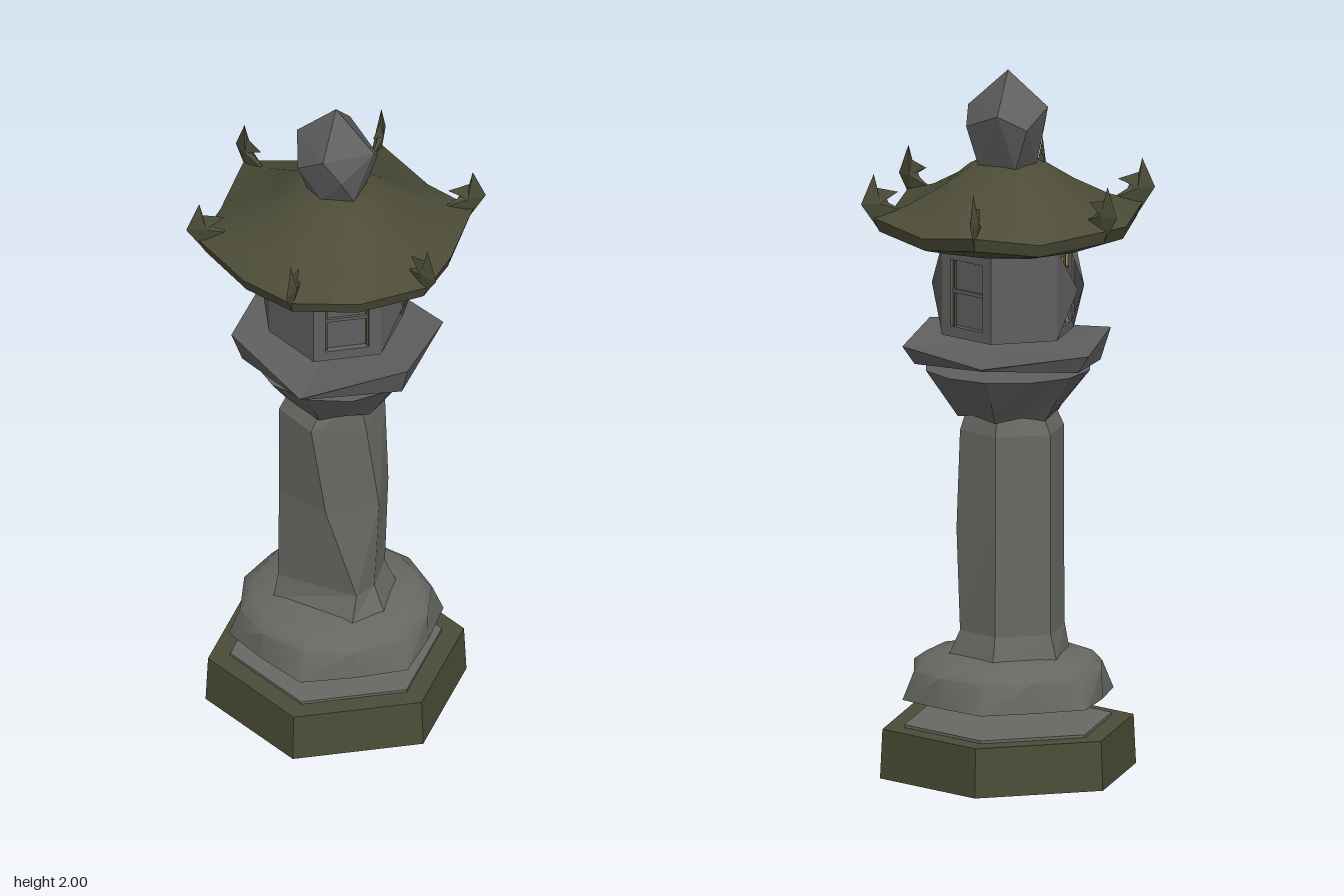
import * as THREE from 'three';
import { toCreasedNormals } from 'three/addons/utils/BufferGeometryUtils.js';
import { ConvexGeometry } from 'three/addons/geometries/ConvexGeometry.js';

const mat = (name, color, side = THREE.FrontSide) => {
  const m = new THREE.MeshStandardMaterial({ color, side });
  m.name = name;
  return m;
};

// Flat-shaded geometry from a list of triangle corners
function fromCorners(corners) {
  const g = new THREE.BufferGeometry();
  g.setAttribute('position', new THREE.Float32BufferAttribute(corners.flat(), 3));
  g.computeVertexNormals();
  return g;
}

// Skin over rings of [x, y, z], with optional caps at the given centre heights
function loft(rings, bottomY = null, topY = null) {
  const t = [], n = rings[0].length;
  for (let i = 0; i < n; i++) {
    const j = (i + 1) % n;
    for (let k = 0; k + 1 < rings.length; k++) {
      const a = rings[k], b = rings[k + 1];
      t.push(a[i], a[j], b[j], a[i], b[j], b[i]);
    }
    const last = rings[rings.length - 1];
    if (bottomY !== null) t.push([0, bottomY, 0], rings[0][j], rings[0][i]);
    if (topY !== null) t.push([0, topY, 0], last[i], last[j]);
  }
  return fromCorners(t);
}

// Twelve-point ring: hexagon corners alternating with edge middles
const ring12 = (cornerR, cornerY, midR, midY) => Array.from({ length: 12 }, (_, i) => {
  const a = i * Math.PI / 6, r = i % 2 ? midR : cornerR;
  return [r * Math.sin(a), i % 2 ? midY : cornerY, r * Math.cos(a)];
});

export function createModel() {
  const stone = mat('stone', 0x686863);
  const darkStone = mat('dark stone', 0x5e5f5e);
  const openStone = mat('shutter stone', 0x585958, THREE.DoubleSide);
  const moss = mat('moss', 0x4c4c38);
  const glow = mat('amber paper', 0xc9a068);

  const model = new THREE.Group();
  model.name = 'stoneLantern';
  const add = (name, geo, material, parent = model, x = 0, y = 0, z = 0) => {
    const m = new THREE.Mesh(geo, material);
    m.name = name;
    m.position.set(x, y, z);
    parent.add(m);
    return m;
  };
  const flat = g => { const f = g.toNonIndexed(); f.computeVertexNormals(); return f; };

  // Plinth and its inset slab
  add('plinth', flat(new THREE.CylinderGeometry(0.363, 0.37, 0.14, 6)), moss, model, 0, 0.07, 0);
  add('plinthSlab', flat(new THREE.CylinderGeometry(0.3, 0.3, 0.008, 6)), stone, model, 0, 0.145, 0);

  // Rounded foot under the column
  add('foot', toCreasedNormals(loft([
    ring12(0.305, 0.22, 0.272, 0.22), ring12(0.272, 0.3, 0.27, 0.305),
    ring12(0.245, 0.33, 0.235, 0.33), ring12(0.16, 0.345, 0.16, 0.345),
  ], null, 0.345), 0.7), stone);

  // Roughly hewn column, as [y, six x/z pairs] from the front round to the left
  const columnRows = [
    [0.34, [0.1, 0.15], [0.165, 0.07], [0.15, -0.08], [0, -0.17], [-0.16, -0.08], [-0.15, 0.1]],
    [0.41, [0.1, 0.115], [0.13, 0.05], [0.12, -0.07], [0, -0.145], [-0.14, -0.07], [-0.14, 0.09]],
    [0.7, [0.02, 0.145], [0.148, 0.06], [0.13, -0.07], [0, -0.14], [-0.14, -0.07], [-0.14, 0.08]],
    [0.98, [-0.02, 0.155], [0.115, 0.08], [0.12, -0.07], [0, -0.14], [-0.14, -0.07], [-0.14, 0.08]],
    [1.05, [0, 0.12], [0.1, 0.08], [0.1, -0.06], [0, -0.12], [-0.11, -0.06], [-0.11, 0.07]],
  ];
  add('column', loft(columnRows.map(([y, ...p]) => p.map(([x, z]) => [x, y, z]))), stone);

  // Flared capital
  add('capital', toCreasedNormals(loft([
    ring12(0.145, 1.02, 0.14, 1.035), ring12(0.237, 1.155, 0.235, 1.155),
  ], null, 1.155), 0.4), darkStone);

  // Tray with upturned sides
  const hexRing = (front, sideF, sideB, back) => {
    const flip = ([x, y, z]) => [-x, y, z];
    return [front, sideF, sideB, back, flip(sideB), flip(sideF)];
  };
  add('tray', loft([
    hexRing([0, 1.2, 0.3], [0.235, 1.16, 0.12], [0.235, 1.175, -0.13], [0, 1.2, -0.29]),
    hexRing([0, 1.21, 0.31], [0.26, 1.25, 0.14], [0.268, 1.225, -0.14], [0, 1.207, -0.3]),
  ], 1.16, 1.205), darkStone);

  // Fire box: six walls, local z points outward
  const box = new THREE.Group();
  box.name = 'fireBox';
  model.add(box);
  add('fireBoxFloor', flat(new THREE.CylinderGeometry(0.19, 0.19, 0.012, 6)), darkStone, box, 0, 1.262, 0);

  const A = 0.165, W = 0.095, Y0 = 1.255, Y1 = 1.515, YM = 1.39;
  const wall = deg => {
    const g = new THREE.Group();
    g.name = 'wall';
    g.rotation.y = deg * Math.PI / 180;
    box.add(g);
    return g;
  };
  const bar = (name, w, h, x, y, z, material, parent) =>
    add(name, new THREE.BoxGeometry(w, h, 0.008), material, parent, x, y, z);

  // Plain walls
  for (const deg of [-30, 210]) {
    const g = wall(deg);
    bar('plainWall', 2 * W, Y1 - Y0, 0, (Y0 + Y1) / 2, A - 0.004, darkStone, g);
    if (deg === -30) // half-moon in the front wall
      add('moon', new THREE.CircleGeometry(0.075, 20, Math.PI, Math.PI), moss, g, 0.025, 1.5, A + 0.002);
  }

  // Walls with a recessed square window
  for (const deg of [30, 150]) {
    const g = wall(deg);
    const s = new THREE.Shape([[-W, Y0], [W, Y0], [W, Y1], [-W, Y1]].map(p => new THREE.Vector2(...p)));
    s.holes.push(new THREE.Path([[-0.062, 1.285], [-0.062, 1.475], [0.062, 1.475], [0.062, 1.285]]
      .map(p => new THREE.Vector2(...p))));
    add('windowFrame', new THREE.ExtrudeGeometry(s, { depth: 0.02, bevelEnabled: false }), darkStone, g, 0, 0, A - 0.02);
    bar('recess', 0.15, 0.22, 0, 1.38, A - 0.022, darkStone, g);
    bar('crossBar', 0.124, 0.01, 0, 1.385, A - 0.012, darkStone, g);
    for (const x of [-0.058, 0.058]) bar('mossEdge', 0.006, 0.19, x, 1.38, A - 0.012, moss, g);
  }

  // Glowing side windows with pinched, outward-bulging shutters
  for (const deg of [90, 270]) {
    const g = wall(deg);
    bar('pane', 0.18, 0.24, 0, 1.38, A - 0.02, glow, g);
    for (const x of [-0.042, 0, 0.042]) bar('lattice', 0.004, 0.22, x, 1.38, A - 0.014, moss, g);
    for (const y of [1.31, 1.43]) bar('lattice', 0.16, 0.005, 0, y, A - 0.014, moss, g);
    bar('lintel', 2 * W, 0.035, 0, 1.4975, A - 0.004, darkStone, g);
    bar('sill', 2 * W, 0.025, 0, 1.2675, A - 0.004, darkStone, g);
    for (const s of [-1, 1]) {
      const a = [s * W, Y1, A], b = [s * W, Y0, A], p = [s * 0.035, YM, A + 0.045];
      const c = [s * 0.06, 1.48, A], d = [s * 0.068, 1.28, A];
      const t = [a, p, b, a, c, p, b, p, d];
      add('shutter', fromCorners(s > 0 ? t : t.reverse()), openStone, g);
    }
  }

  // Sweeping roof with lifted corners
  add('roof', toCreasedNormals(loft([
    ring12(0.17, 1.51, 0.16, 1.505), ring12(0.25, 1.515, 0.235, 1.51),
    ring12(0.372, 1.56, 0.33, 1.535), ring12(0.39, 1.6, 0.34, 1.57),
    ring12(0.29, 1.63, 0.265, 1.615), ring12(0.19, 1.68, 0.18, 1.67),
    ring12(0.11, 1.73, 0.11, 1.728),
  ], 1.505, 1.74), 0.75), moss);

  // Hooked ornament on each roof corner: outline in [radius, y], swelling to a lens
  const outline = [[0.37, 1.56], [0.425, 1.64], [0.388, 1.725], [0.378, 1.685],
    [0.318, 1.67], [0.352, 1.655], [0.345, 1.64], [0.29, 1.61]];
  const hookTris = [];
  outline.forEach(([r, y], i) => {
    const [r2, y2] = outline[(i + 1) % outline.length];
    hookTris.push([-0.013, 1.642, 0.372], [0, y, r], [0, y2, r2]);
    hookTris.push([0.013, 1.642, 0.372], [0, y2, r2], [0, y, r]);
  });
  const hookGeo = fromCorners(hookTris);
  for (let i = 0; i < 6; i++) add('cornerHook', hookGeo, moss).rotation.y = i * Math.PI / 3;

  // Faceted finial
  add('finial', new ConvexGeometry([
    [0, 2, 0], [-0.115, 1.9, 0], [0, 1.89, 0.112], [0.12, 1.89, 0.022], [0, 1.89, -0.12],
    [-0.08, 1.85, -0.1], [0.11, 1.84, -0.04], [-0.085, 1.83, 0.08], [0.05, 1.82, 0.1],
    [-0.075, 1.73, 0.03], [0.07, 1.73, 0.05], [0.075, 1.73, -0.04], [-0.04, 1.73, -0.07],
    [-0.02, 1.73, 0.07],
  ].map(p => new THREE.Vector3(...p))), darkStone);

  return model;
}
